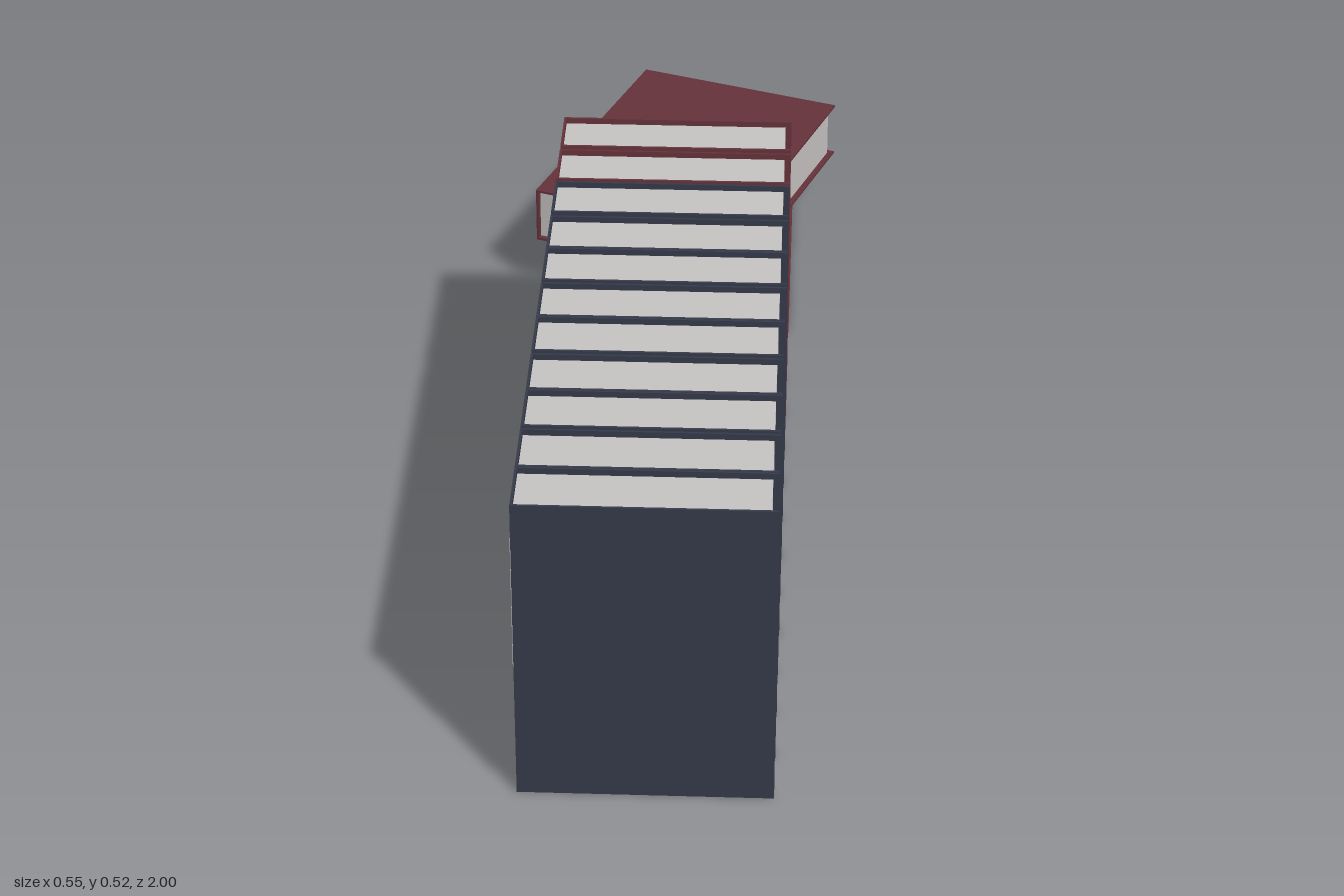
import * as THREE from 'three';

const mat = (name, color) => {
  const m = new THREE.MeshStandardMaterial({ color });
  m.name = name;
  return m;
};

const W = 0.392, H = 0.524, T = 0.104; // binder depth, height and thickness
const BOARD = 0.004, LIP = 0.01;       // cover board thickness, overhang past the paper

export function createModel() {
  const navy = mat('navy cover', 0x363b4b);
  const red = mat('red cover', 0x66333a);
  const paper = mat('paper', 0xc9c6c4);
  const metal = mat('dark metal', 0x3c424e);

  const box = (parent, name, material, size, pos) => {
    const mesh = new THREE.Mesh(new THREE.BoxGeometry(...size), material);
    mesh.name = name;
    mesh.position.set(...pos);
    parent.add(mesh);
  };

  // One upright binder, centred on its own origin, spine facing -x
  function binder(name, cover) {
    const g = new THREE.Group();
    g.name = name;
    for (const s of [-1, 1]) {
      box(g, s > 0 ? 'frontCover' : 'backCover', cover, [W, H, BOARD], [0, 0, s * (T - BOARD) / 2]);
    }
    box(g, 'spine', cover, [BOARD, H, T - 2 * BOARD], [-(W - BOARD) / 2, 0, 0]);
    box(g, 'pages', paper, [W - BOARD - LIP, H - 2 * LIP, T - 2 * BOARD], [(BOARD - LIP) / 2, 0, 0]);
    box(g, 'spineLabel', paper, [0.002, 0.227, T - 0.004], [-W / 2, 0.086, 0]);

    // Finger hole: metal ring around a recessed-looking disc
    const ring = new THREE.Mesh(new THREE.TorusGeometry(0.013, 0.002, 6, 20), metal);
    ring.name = 'fingerRing';
    const hole = new THREE.Mesh(new THREE.CircleGeometry(0.0115, 20), cover);
    hole.name = 'fingerHole';
    for (const part of [ring, hole]) {
      part.rotation.y = -Math.PI / 2;
      part.position.set(-W / 2 - 0.0006, -0.112, 0);
      g.add(part);
    }
    return g;
  }

  const model = new THREE.Group();
  model.name = 'binders';

  // Standing row, given by the front face of each binder
  const fronts = [1, 0.895, 0.784, 0.679, 0.567, 0.462, 0.35, 0.245, 0.128, 0.016, -0.1];
  fronts.forEach((z, i) => {
    const b = binder(`standingBinder${i + 1}`, i < 9 ? navy : red);
    b.position.set(-0.001, H / 2, z - T / 2);
    model.add(b);
  });

  // Two binders lying behind the row, the upper one turned
  [[-0.63, 0], [-0.69, -20]].forEach(([z, turn], i) => {
    const lying = new THREE.Group();
    lying.name = i ? 'upperLyingBinder' : 'lowerLyingBinder';
    const b = binder('binder', red);
    b.rotation.x = -Math.PI / 2;
    lying.add(b);
    lying.rotation.y = THREE.MathUtils.degToRad(turn);
    lying.position.set(-0.001, T * (i + 0.5), z);
    model.add(lying);
  });

  return model;
}
